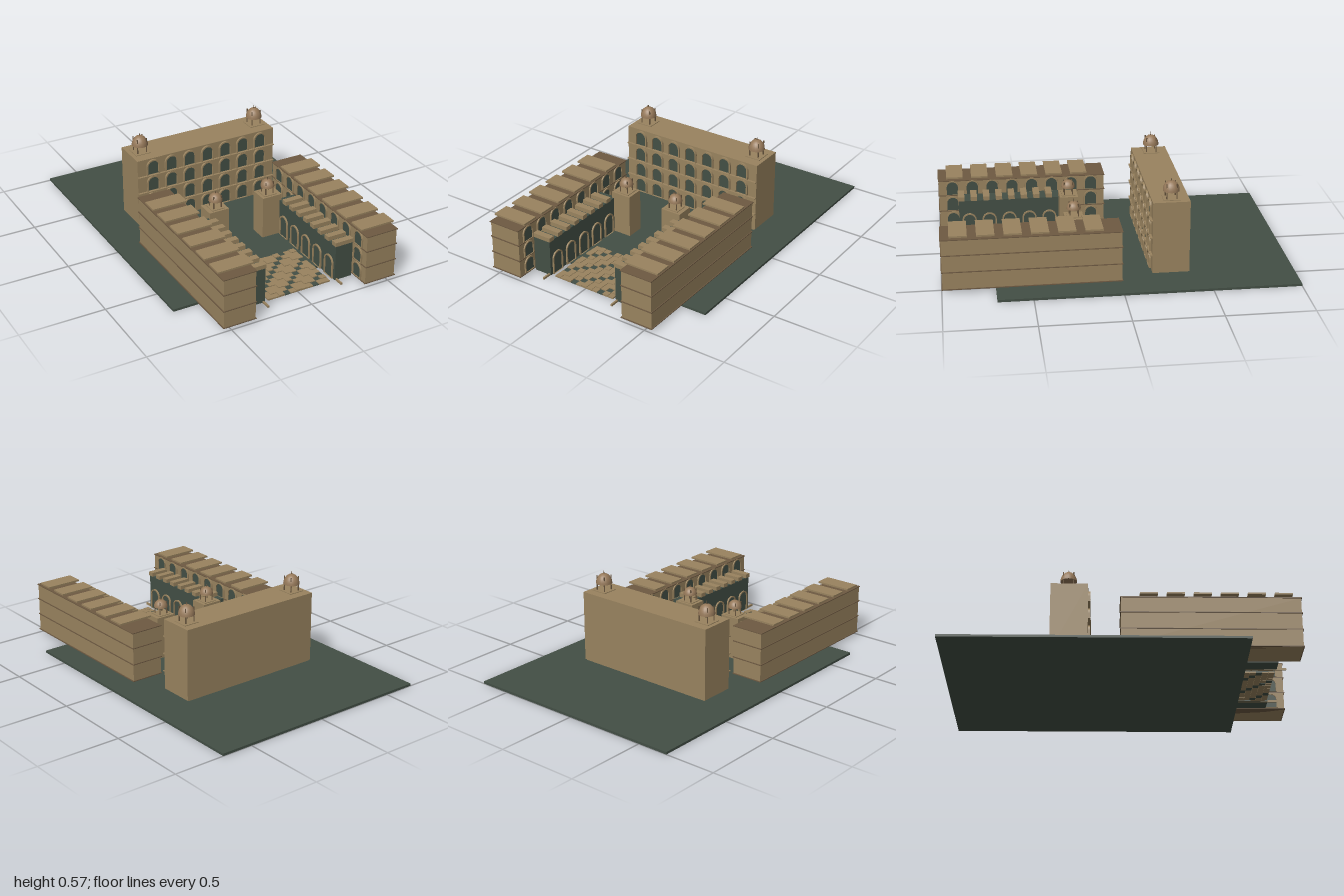
import * as THREE from 'three';

const stone = new THREE.MeshStandardMaterial({ color: 0x99835f });
stone.name = 'sandstone';
const green = new THREE.MeshStandardMaterial({ color: 0x434f45 });
green.name = 'dark green';
const trim = new THREE.MeshStandardMaterial({ color: 0x6e5a42 });
trim.name = 'brown trim';
const domeMat = new THREE.MeshStandardMaterial({ color: 0x96795a });
domeMat.name = 'dome stone';

function add(parent, name, geo, mat, x = 0, y = 0, z = 0) {
  const m = new THREE.Mesh(geo, mat);
  m.name = name;
  m.position.set(x, y, z);
  parent.add(m);
  return m;
}

// Box given by its minimum and maximum corners
function box(parent, name, mat, x0, x1, y0, y1, z0, z1) {
  return add(parent, name, new THREE.BoxGeometry(x1 - x0, y1 - y0, z1 - z0), mat,
    (x0 + x1) / 2, (y0 + y1) / 2, (z0 + z1) / 2);
}

// Round-headed outline standing on y = 0
function archOutline(Type, r, h) {
  const s = new Type();
  s.moveTo(-r, 0);
  s.lineTo(r, 0);
  s.lineTo(r, h - r);
  s.absarc(0, h - r, r, 0, Math.PI, false);
  s.lineTo(-r, 0);
  return s;
}

// Arch facing +z: a raised stone surround with a thin dark panel inside
function makeArch(w, h, depth, border = 0.008) {
  const g = new THREE.Group();
  g.name = 'arch';
  const frame = archOutline(THREE.Shape, w / 2, h);
  frame.holes.push(archOutline(THREE.Path, w / 2 - border, h - border));
  add(g, 'archSurround', new THREE.ExtrudeGeometry(frame, { depth, bevelEnabled: false, curveSegments: 8 }), stone);
  add(g, 'archPanel', new THREE.ShapeGeometry(archOutline(THREE.Shape, w / 2 - border, h - border), 8), green, 0, 0, 0.002);
  return g;
}

// Domed kiosk on four posts
function makeKiosk(r, postH, domeH) {
  const g = new THREE.Group();
  g.name = 'kiosk';
  box(g, 'kioskBase', stone, -r, r, 0, 0.004, -r, r);
  const profile = [];
  for (let i = 0; i <= 8; i++) {
    const a = (i / 8) * Math.PI / 2;
    profile.push(new THREE.Vector2(r * Math.cos(a), domeH * Math.sin(a)));
  }
  profile[8].x = 0;
  profile.unshift(new THREE.Vector2(0, 0), new THREE.Vector2(r, 0));
  add(g, 'dome', new THREE.LatheGeometry(profile, 16), domeMat, 0, postH);
  add(g, 'finial', new THREE.ConeGeometry(0.004, 0.022, 6), trim, 0, postH + domeH + 0.009);
  for (const x of [-1, 1]) for (const z of [-1, 1]) {
    const h = postH + domeH * 0.8;
    add(g, 'kioskPost', new THREE.CylinderGeometry(0.0035, 0.0035, h, 6), trim, x * r * 0.6, h / 2, z * r * 0.6);
  }
  return g;
}

// Main block with four rows of seven arches
function makeMainBlock() {
  const g = new THREE.Group();
  g.name = 'mainBlock';
  box(g, 'mainWalls', stone, -0.458, 0.458, 0.02, 0.445, -0.4, -0.188);
  for (let row = 0; row < 4; row++) {
    const y = 0.025 + row * 0.106;
    for (let i = -3; i <= 3; i++) {
      const arch = makeArch(0.084, 0.095, 0.012);
      arch.position.set(i * 0.12, y, -0.188);
      g.add(arch);
    }
    if (row) box(g, 'mainLedge', stone, -0.458, 0.458, y - 0.009, y - 0.003, -0.19, -0.174);
  }
  for (const s of [-1, 1]) {
    const kiosk = makeKiosk(0.048, 0.045, 0.06);
    kiosk.position.set(s * 0.386, 0.445, -0.3);
    g.add(kiosk);
  }
  return g;
}

// Side wing, arcade and tower on side s (-1 or 1)
function makeSide(s) {
  const g = new THREE.Group();
  g.name = s > 0 ? 'leftSide' : 'rightSide';
  const sideBox = (name, mat, x0, x1, ...rest) =>
    box(g, name, mat, Math.min(s * x0, s * x1), Math.max(s * x0, s * x1), ...rest);
  const innerArch = (x, y, z, w, h, depth) => {
    const arch = makeArch(w, h, depth);
    arch.position.set(s * x, y, z);
    arch.rotation.y = -s * Math.PI / 2;
    g.add(arch);
  };

  // Wing walls, floor ledges and roof slabs
  sideBox('wingWalls', stone, 0.35, 0.543, 0.02, 0.318, -0.005, 0.995);
  for (const y of [0.022, 0.125, 0.225, 0.318]) {
    sideBox('wingLedge', trim, 0.346, 0.548, y - 0.002, y + 0.003, -0.01, 1.0);
  }
  for (let i = 0; i < 6; i++) {
    sideBox('roofSlab', stone, 0.34, 0.553, 0.335, 0.345, 0.1 + i * 0.15, 0.2 + i * 0.15);
  }
  for (let row = 0; row < 3; row++) for (let i = 0; i < 8; i++) {
    innerArch(0.35, 0.03 + row * 0.1, 0.075 + i * 0.12, 0.084, 0.09, 0.008);
  }

  // Arcade with roof beams, arches and a ground rail
  sideBox('arcade', green, 0.225, 0.335, 0.018, 0.235, 0.265, 0.88);
  for (let i = 0; i < 8; i++) {
    const z = 0.34 + i * 0.075;
    sideBox('arcadeBeam', stone, 0.22, 0.335, 0.235, 0.26, z - 0.019, z + 0.019);
  }
  for (let i = 0; i < 5; i++) innerArch(0.225, 0.02, 0.34 + i * 0.12, 0.085, 0.135, 0.009);
  sideBox('groundRail', stone, 0.23, 0.24, 0.016, 0.028, 0.3, 0.935);

  // Courtyard tower
  sideBox('towerWalls', stone, 0.113, 0.238, 0.015, 0.274, 0.175, 0.283);
  const kiosk = makeKiosk(0.041, 0.045, 0.045);
  kiosk.position.set(s * 0.172, 0.274, 0.229);
  g.add(kiosk);
  return g;
}

// Courtyard paving with diagonal dark rows and slight relief
function makePaving() {
  const g = new THREE.Group();
  g.name = 'paving';
  const n = 11, w = 0.4 / n, d = 0.385 / n;
  for (let i = 0; i < n; i++) for (let j = 0; j < n; j++) {
    const dark = (i + j) % 5 === 3;
    const top = dark ? 0.019 : 0.021 + ((i * 2 + j) % 3) * 0.002;
    const x = -0.2 + i * w, z = 0.488 + j * d;
    box(g, 'pavingTile', dark ? green : stone, x, x + w - 0.001, 0.013, top, z, z + d - 0.001);
  }
  return g;
}

export function createModel() {
  const model = new THREE.Group();
  model.name = 'courtyardPalace';
  box(model, 'ground', green, -0.69, 0.69, 0, 0.014, -1, 0.7);
  // Plinth closing the gap under the main block
  box(model, 'mainPlinth', stone, -0.45, 0.45, 0.012, 0.021, -0.395, -0.19);
  model.add(makeMainBlock(), makeSide(-1), makeSide(1), makePaving());
  return model;
}
